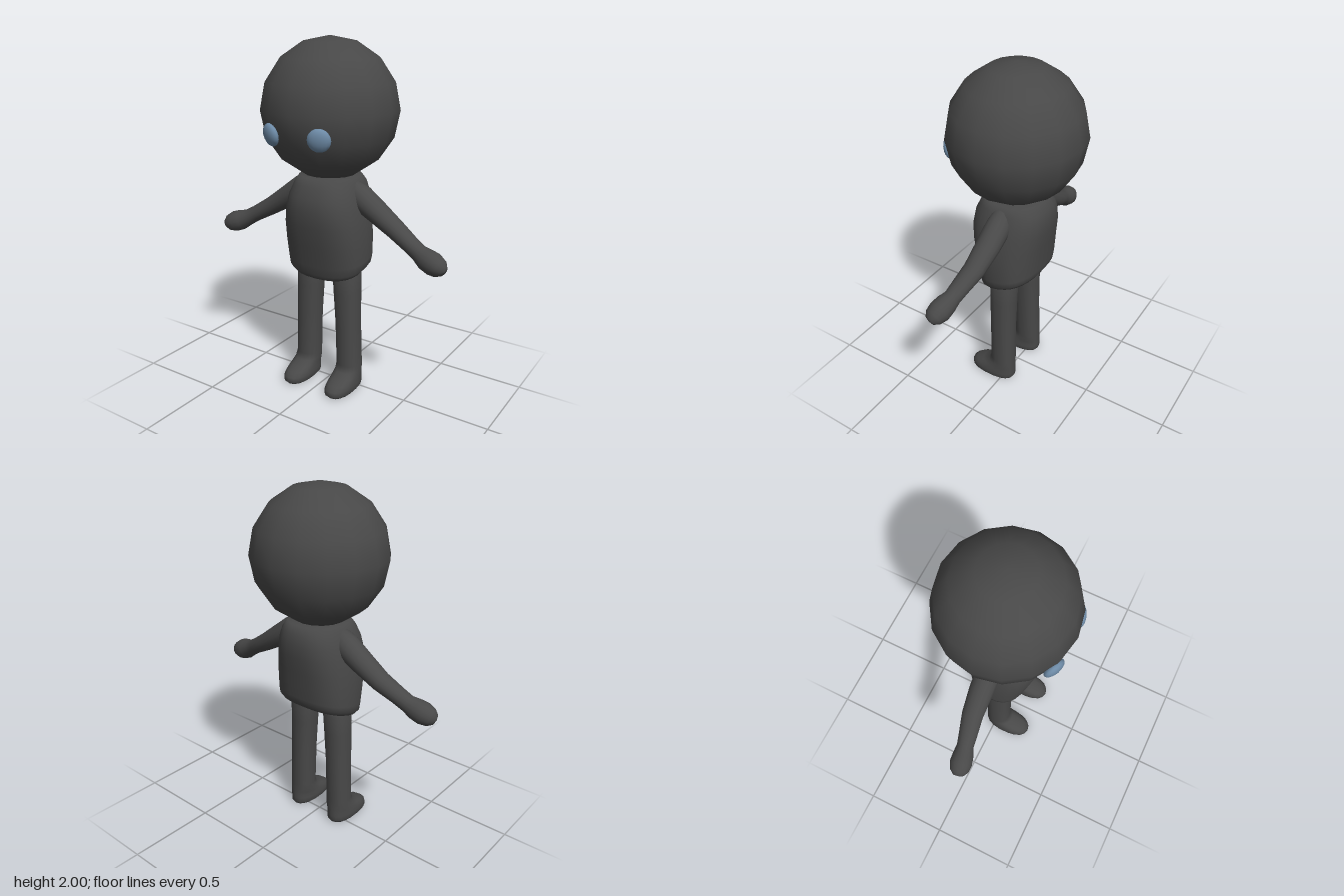
import * as THREE from 'three';

// Skin a list of sections { c, u, v }: centre and two half-axes, with u x v along the path.
function loft(sections, sides = 24, power = 2) {
  const pos = [], index = [];
  const round = (t) => Math.sign(t) * Math.pow(Math.abs(t), 2 / power);
  sections.forEach(({ c, u, v }) => {
    for (let j = 0; j < sides; j++) {
      const a = (j / sides) * Math.PI * 2;
      const p = c.clone().addScaledVector(u, round(Math.cos(a))).addScaledVector(v, round(Math.sin(a)));
      pos.push(p.x, p.y, p.z);
    }
  });
  for (let i = 0; i < sections.length - 1; i++) {
    for (let j = 0; j < sides; j++) {
      const a = i * sides + j, b = i * sides + ((j + 1) % sides);
      index.push(a, b, a + sides, b, b + sides, a + sides);
    }
  }
  const g = new THREE.BufferGeometry();
  g.setAttribute('position', new THREE.Float32BufferAttribute(pos, 3));
  g.setIndex(index);
  g.computeVertexNormals();
  return g;
}

// Upright section from half-width and z range; slope tilts it towards the front.
function level(y, x, halfW, front, back, slope = 0) {
  const zc = (front + back) / 2, d = (front - back) / 2;
  return {
    c: new THREE.Vector3(x, y - slope * zc, zc),
    u: new THREE.Vector3(0, -slope * d, d),
    v: new THREE.Vector3(halfW, 0, 0),
  };
}

// Section list along an arm: [x, y, z, radius in front plane, radius in z]
function armSections(points, side) {
  const centres = points.map(([x, y, z]) => new THREE.Vector3(x * side, y, z));
  return points.map(([, , , r, rz], i) => {
    const w = centres[Math.min(i + 1, centres.length - 1)].clone().sub(centres[Math.max(i - 1, 0)]).normalize();
    const v = w.clone().cross(new THREE.Vector3(0, 0, 1)).normalize();
    const u = v.clone().cross(w);
    return { c: centres[i], u: u.multiplyScalar(rz), v: v.multiplyScalar(r) };
  });
}

export function createModel() {
  const model = new THREE.Group();
  const bodyMat = new THREE.MeshStandardMaterial({ color: 0x484848 });
  bodyMat.name = 'charcoal';
  const eyeMat = new THREE.MeshStandardMaterial({ color: 0x6d8aa6 });
  eyeMat.name = 'blue grey';

  const add = (name, geometry, material = bodyMat) => {
    const mesh = new THREE.Mesh(geometry, material);
    mesh.name = name;
    model.add(mesh);
    return mesh;
  };

  // Head: coarse, smooth-shaded ball
  const head = add('head', new THREE.SphereGeometry(0.38, 16, 8));
  head.scale.z = 0.98;
  head.position.set(0, 1.62, 0.003);

  // Torso: belly forward, hem dipping towards the front
  add('torso', loft([
    level(0.71, 0, 0, 0.0, 0.0, 0.3),
    level(0.715, 0, 0.15, 0.1, -0.11, 0.3),
    level(0.732, 0, 0.215, 0.15, -0.155, 0.3),
    level(0.76, 0, 0.24, 0.168, -0.172, 0.27),
    level(0.80, 0, 0.245, 0.175, -0.176, 0.2),
    level(0.90, 0, 0.245, 0.2, -0.185, 0.08),
    level(1.0, 0, 0.24, 0.222, -0.195),
    level(1.09, 0, 0.226, 0.23, -0.207),
    level(1.16, 0, 0.21, 0.218, -0.207),
    level(1.22, 0, 0.188, 0.19, -0.195),
    level(1.26, 0, 0.165, 0.16, -0.165),
    level(1.268, 0, 0, 0, 0),
  ], 28, 2.5));

  const armPath = [
    [0.10, 1.215, 0, 0, 0],
    [0.13, 1.2, -0.003, 0.058, 0.06],
    [0.20, 1.15, -0.006, 0.073, 0.07],
    [0.30, 1.085, -0.006, 0.064, 0.068],
    [0.42, 1.008, 0, 0.053, 0.06],
    [0.52, 0.95, 0.02, 0.046, 0.052],
    [0.575, 0.918, 0.03, 0.048, 0.047],
    [0.62, 0.897, 0.04, 0.06, 0.058],
    [0.665, 0.882, 0.047, 0.062, 0.063],
    [0.705, 0.868, 0.056, 0.05, 0.052],
    [0.728, 0.86, 0.062, 0.028, 0.03],
    [0.734, 0.857, 0.064, 0, 0],
  ];

  for (const side of [1, -1]) {
    const label = side > 0 ? 'left' : 'right';

    // Arm with mitten hand
    add(label + 'Arm', loft(armSections(armPath, side), 16));

    // Leg flowing into a forward-pointing foot
    const leg = (y, inner, outer, front, back) => level(y, side * (inner + outer) / 2, (outer - inner) / 2, front, back);
    add(label + 'Leg', loft([
      leg(0.005, 0.145, 0.145, 0.08, 0.08),
      leg(0.005, 0.08, 0.212, 0.215, -0.058),
      leg(0.02, 0.067, 0.223, 0.23, -0.066),
      leg(0.048, 0.067, 0.223, 0.226, -0.066),
      leg(0.07, 0.07, 0.22, 0.198, -0.065),
      leg(0.09, 0.071, 0.217, 0.15, -0.064),
      leg(0.115, 0.071, 0.214, 0.105, -0.063),
      leg(0.15, 0.071, 0.212, 0.086, -0.062),
      leg(0.40, 0.064, 0.204, 0.088, -0.06),
      leg(0.60, 0.05, 0.202, 0.091, -0.063),
      leg(0.72, 0.042, 0.2, 0.092, -0.066),
      leg(0.76, 0.06, 0.18, 0.07, -0.05),
      leg(0.775, 0.12, 0.12, 0.01, 0.01),
    ], 18, 2.3));

    // Eye: flattened button facing out of the head
    const eye = add(label + 'Eye', new THREE.SphereGeometry(0.062, 16, 10), eyeMat);
    eye.scale.z = 0.5;
    eye.position.set(side * 0.15, 1.51, 0.326);
    eye.rotation.set(0.2, side * 0.4, 0, 'YXZ');
  }
  return model;
}
